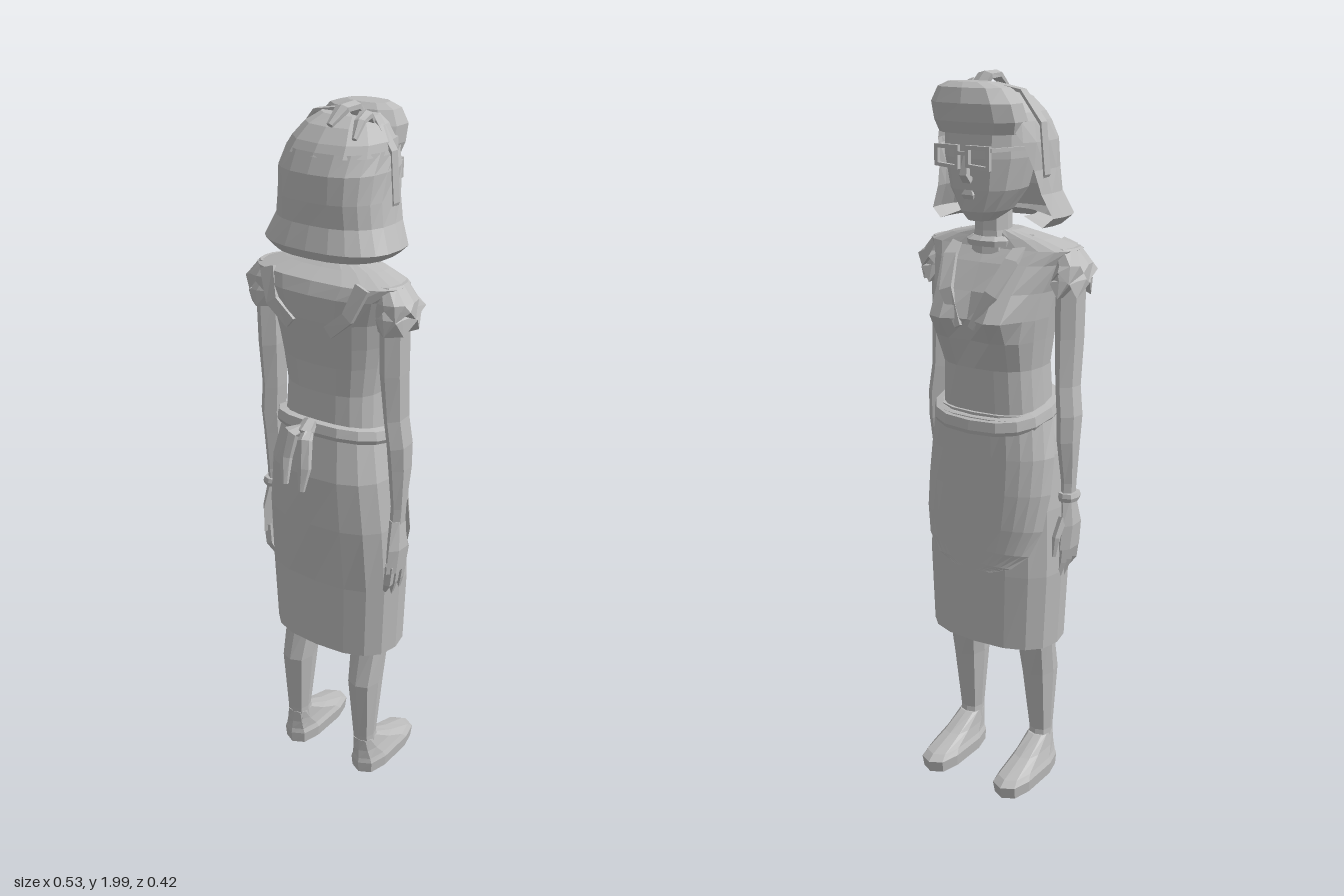
import * as THREE from 'three';

const grey = new THREE.MeshStandardMaterial({ color: 0xbcbcbc, side: THREE.DoubleSide });
grey.name = 'plainGrey';
const V = (x, y, z) => new THREE.Vector3(x, y, z);

// Faceted skin over equal-length cross-sections
function skin(rings, closed = true, caps = true) {
  const pos = [], n = rings[0].length;
  const tri = (a, b, c) => [a, b, c].forEach(p => pos.push(p.x, p.y, p.z));
  for (let i = 0; i < rings.length - 1; i++)
    for (let j = 0; j < (closed ? n : n - 1); j++) {
      const k = (j + 1) % n, a = rings[i], b = rings[i + 1];
      tri(a[j], a[k], b[k]);
      tri(a[j], b[k], b[j]);
    }
  if (closed && caps) {
    const first = rings[0], last = rings[rings.length - 1];
    for (let j = 1; j < n - 1; j++) {
      tri(first[0], first[j + 1], first[j]);
      tri(last[0], last[j], last[j + 1]);
    }
  }
  const g = new THREE.BufferGeometry();
  g.setAttribute('position', new THREE.Float32BufferAttribute(pos, 3));
  g.computeVertexNormals();
  return g;
}

// Point on a rounded level section; angle 0 is the back (+z)
function sectionPoint([y, w, zf, zb, cx = 0], a, power = 0.8, tilt = 0) {
  const p = v => Math.sign(v) * Math.abs(v) ** power;
  const z = (zf + zb) / 2 + (zb - zf) / 2 * p(Math.cos(a));
  return V(cx + w * p(Math.sin(a)), y + tilt * z, z);
}

// Stack of sections [y, halfWidth, zFront, zBack, centreX]
function loft(rows, n = 12, power = 0.8, tilt = 0) {
  return skin(rows.map(r => Array.from({ length: n }, (_, j) => sectionPoint(r, j / n * 2 * Math.PI, power, tilt))));
}

// Open stack: each row carries the half angle it covers around "mid"
function wrap(rows, spans, mid, n = 10, power = 0.8) {
  return skin(rows.map((r, i) => Array.from({ length: n + 1 }, (_, j) =>
    sectionPoint(r, mid + (j / n * 2 - 1) * spans[i], power))), false);
}

// Tapered sweep through [x, y, z, radiusAcross, radiusDeep]
function sweep(pts, n = 6) {
  const c = pts.map(p => V(p[0], p[1], p[2]));
  return skin(pts.map((p, i) => {
    const t = c[Math.min(i + 1, c.length - 1)].clone().sub(c[Math.max(i - 1, 0)]).normalize();
    const u = V(1, 0, 0).addScaledVector(t, -t.x).normalize();
    const v = t.clone().cross(u);
    return Array.from({ length: n }, (_, j) => {
      const a = (j + 0.5) / n * 2 * Math.PI;
      return c[i].clone().addScaledVector(u, Math.cos(a) * p[3]).addScaledVector(v, Math.sin(a) * p[4]);
    });
  }));
}

export function createModel() {
  const model = new THREE.Group();
  const add = (name, geo) => {
    const m = new THREE.Mesh(geo, grey);
    m.name = name;
    model.add(m);
    return m;
  };

  // Skirt
  const skirt = [
    [0.44, 0.198, -0.15, 0.095], [0.66, 0.208, -0.15, 0.1], [0.85, 0.203, -0.148, 0.118],
    [1.0, 0.187, -0.147, 0.123], [1.12, 0.16, -0.15, 0.1]];
  add('skirt', loft(skirt, 16));

  // Apron follows the skirt with a rounded lower edge
  const skirtAt = y => {
    const i = Math.min(3, Math.max(0, skirt.findIndex(r => r[0] > y) - 1));
    const t = (y - skirt[i][0]) / (skirt[i + 1][0] - skirt[i][0]);
    const s = skirt[i].map((v, k) => v + (skirt[i + 1][k] - v) * t);
    return [y, s[1] + 0.01, s[2] - 0.013, s[3] + 0.01];
  };
  add('apron', wrap([0.67, 0.69, 0.73, 0.8, 0.9, 1.0, 1.11].map(skirtAt),
    [0.2, 0.5, 0.8, 1.05, 1.25, 1.4, 1.6], Math.PI, 12));

  // Waistband, lower at the front
  add('waistband', loft([[1.1, 0.17, -0.172, 0.112], [1.112, 0.177, -0.176, 0.118],
    [1.138, 0.172, -0.172, 0.112], [1.142, 0.15, -0.155, 0.09]], 16, 0.8, 0.2));

  // Waist bow at the back
  add('bowKnot', sweep([[0, 1.165, 0.11, 0.02, 0.015], [0, 1.145, 0.135, 0.026, 0.022], [0, 1.115, 0.13, 0.018, 0.015]]));
  add('bowTailLeft', sweep([[0.005, 1.15, 0.125, 0.012, 0.012], [0.02, 1.13, 0.165, 0.022, 0.018],
    [0.032, 1.06, 0.185, 0.021, 0.014], [0.035, 1.0, 0.202, 0.009, 0.008]]));
  add('bowTailRight', sweep([[-0.005, 1.15, 0.125, 0.012, 0.012], [-0.03, 1.14, 0.155, 0.024, 0.018],
    [-0.04, 1.07, 0.17, 0.02, 0.014], [-0.028, 1.0, 0.19, 0.009, 0.008]]));

  // Torso and shoulders, with the bust pushed out of the front
  const torso = loft([
    [1.12, 0.148, -0.14, 0.09], [1.24, 0.143, -0.145, 0.083], [1.32, 0.155, -0.16, 0.09],
    [1.38, 0.165, -0.175, 0.1], [1.45, 0.175, -0.155, 0.112], [1.52, 0.2, -0.115, 0.12],
    [1.555, 0.225, -0.085, 0.105], [1.58, 0.15, -0.075, 0.06], [1.6, 0.065, -0.07, 0.03]], 20, 0.75);
  const tp = torso.attributes.position;
  for (let i = 0; i < tp.count; i++) {
    const x = Math.abs(tp.getX(i)), y = tp.getY(i), z = tp.getZ(i);
    if (z < -0.1 && x > 0.02 && x < 0.14)
      tp.setZ(i, z - 0.034 * Math.max(0, 1 - Math.abs(y - 1.38) / 0.1));
  }
  torso.computeVertexNormals();
  add('torso', torso);

  // Neck and necklace
  add('neck', loft([[1.54, 0.058, -0.105, 0.02], [1.6, 0.045, -0.098, 0.0], [1.68, 0.045, -0.1, 0.0]], 8));
  add('necklace', loft([[1.56, 0.068, -0.112, 0.03], [1.575, 0.07, -0.114, 0.032], [1.585, 0.055, -0.1, 0.02]], 12));

  for (const s of [1, -1]) {
    const side = s > 0 ? 'Left' : 'Right';

    // Lapel and apron strap
    add('lapel' + side, sweep([[s * 0.1, 1.585, -0.03, 0.022, 0.01], [s * 0.095, 1.53, -0.11, 0.026, 0.01],
      [s * 0.07, 1.45, -0.168, 0.026, 0.01], [s * 0.02, 1.36, -0.186, 0.012, 0.008]], 4));
    add('backStrap' + side, sweep([[s * 0.15, 1.56, 0.09, 0.03, 0.01], [s * 0.12, 1.48, 0.112, 0.025, 0.01],
      [s * 0.06, 1.43, 0.112, 0.025, 0.008]], 4));

    // Ruffled sleeve with a jagged edge in two tiers
    [[1.435, 0.045, 0.01], [1.475, 0.052, 0]].forEach(([y0, w, lift], tier) => {
      const rows = [[y0, w, -0.062, 0.075, s * 0.205], [y0 + 0.045, w, -0.05, 0.075, s * 0.202],
        [y0 + 0.085, 0.035, -0.04, 0.06, s * 0.185]];
      const rings = rows.map((r, i) => Array.from({ length: 12 }, (_, j) => {
        const p = sectionPoint(r, j / 12 * 2 * Math.PI, 0.9);
        if (i === 0 && (j + tier) % 2) {
          p.x += (p.x - r[4]) * 0.28;
          p.y += 0.03 + lift;
        }
        return p;
      }));
      add('sleeveRuffle' + side, skin(rings));
    });

    // Arm, bent slightly at the elbow
    add('arm' + side, sweep([[s * 0.21, 0.86, -0.002, 0.02, 0.026], [s * 0.213, 0.92, -0.002, 0.02, 0.024],
      [s * 0.212, 1.04, -0.006, 0.029, 0.04], [s * 0.212, 1.11, -0.002, 0.031, 0.046],
      [s * 0.203, 1.19, 0.003, 0.03, 0.045], [s * 0.2, 1.32, 0.012, 0.036, 0.048],
      [s * 0.2, 1.48, 0.015, 0.037, 0.05]]));

    // Hand, fingers and thumb
    add('hand' + side, sweep([[s * 0.21, 0.88, 0, 0.02, 0.025], [s * 0.217, 0.8, 0.005, 0.023, 0.045],
      [s * 0.213, 0.73, 0.005, 0.02, 0.05]]));
    [[0.035, 0.66], [0.008, 0.635], [-0.022, 0.625]].forEach(([z, y]) =>
      add('finger' + side, sweep([[s * 0.213, 0.75, z, 0.016, 0.015], [s * 0.207, 0.69, z, 0.014, 0.014],
        [s * 0.192, y, z - 0.008, 0.008, 0.008]], 5)));
    add('thumb' + side, sweep([[s * 0.21, 0.82, -0.025, 0.014, 0.014], [s * 0.205, 0.77, -0.052, 0.012, 0.012],
      [s * 0.2, 0.715, -0.056, 0.007, 0.007]], 5));

    // Leg
    add('leg' + side, loft([[0.06, 0.035, -0.03, 0.045, s * 0.122], [0.13, 0.032, -0.018, 0.048, s * 0.122],
      [0.32, 0.045, -0.045, 0.065, s * 0.12], [0.46, 0.055, -0.065, 0.03, s * 0.117]], 8));

    // Shoe
    add('shoe' + side, loft([[0, 0.05, -0.205, 0.052, s * 0.126], [0.035, 0.053, -0.212, 0.055, s * 0.126],
      [0.05, 0.046, -0.19, 0.052, s * 0.126], [0.078, 0.038, -0.105, 0.05, s * 0.124],
      [0.115, 0.032, -0.025, 0.048, s * 0.122]], 10, 0.7));
  }

  // Bracelet on the right wrist
  add('bracelet', loft([[0.868, 0.027, -0.033, 0.03, -0.213], [0.88, 0.031, -0.036, 0.033, -0.213],
    [0.892, 0.027, -0.033, 0.03, -0.213]], 8));

  // Head with nose and lips
  add('head', loft([[1.63, 0.035, -0.14, -0.06], [1.655, 0.06, -0.156, 0], [1.71, 0.095, -0.163, 0.03],
    [1.79, 0.113, -0.168, 0.05], [1.87, 0.115, -0.165, 0.05], [1.92, 0.1, -0.15, 0.05]], 12));
  add('nose', sweep([[0, 1.735, -0.165, 0.018, 0.012], [0, 1.75, -0.18, 0.015, 0.012], [0, 1.81, -0.165, 0.008, 0.008]], 4));
  add('lips', sweep([[0, 1.69, -0.16, 0.02, 0.006], [0, 1.7, -0.166, 0.025, 0.006], [0, 1.71, -0.162, 0.015, 0.006]], 4));

  // Bob haircut, open around the face, flared at the ends
  add('hairBob', wrap([
    [1.64, 0.1, -0.11, 0.06], [1.615, 0.165, -0.15, 0.115], [1.64, 0.194, -0.15, 0.13], [1.7, 0.166, -0.16, 0.11],
    [1.76, 0.155, -0.16, 0.116], [1.83, 0.15, -0.165, 0.116], [1.88, 0.138, -0.165, 0.095, 0.004]],
    [1.85, 1.85, 1.85, 1.85, 1.95, 2.15, 2.4], 0, 14));
  add('hairCrown', loft([[1.87, 0.14, -0.15, 0.1, 0.004], [1.9, 0.13, -0.15, 0.082, 0.008], [1.935, 0.105, -0.14, 0.05, 0.01],
    [1.957, 0.075, -0.12, 0.01, 0.012]], 12));

  // Swept fringe at the front
  add('hairFringe', loft([[1.85, 0.118, -0.172, -0.03], [1.88, 0.128, -0.184, -0.03], [1.925, 0.125, -0.19, -0.05, 0.004],
    [1.962, 0.1, -0.175, -0.07, 0.01], [1.975, 0.06, -0.155, -0.09, 0.02]], 10));

  // Headband and its small bow
  const band = [[-0.157, 1.74], [-0.145, 1.87], [-0.085, 1.947], [0, 1.962], [0.095, 1.95], [0.148, 1.87], [0.157, 1.74]];
  const bandGeo = skin(band.map(([x, y]) => {
    const k = x < 0 ? 1.03 : 1.02;
    return [V(x, y, -0.058), V(x * k, y + 0.008, -0.058), V(x * k, y + 0.008, -0.03), V(x, y, -0.03)];
  }));
  add('headband', bandGeo);
  add('headBowLarge', sweep([[0.06, 1.955, -0.03, 0.024, 0.012], [0.05, 1.982, -0.01, 0.026, 0.013],
    [0.055, 1.983, 0.045, 0.022, 0.012], [0.048, 1.95, 0.088, 0.01, 0.007]]));
  add('headBowSmall', sweep([[0.085, 1.945, -0.03, 0.018, 0.012], [0.09, 1.965, -0.005, 0.02, 0.012],
    [0.1, 1.955, 0.035, 0.016, 0.01], [0.108, 1.92, 0.07, 0.007, 0.006]]));

  // Glasses: two square rims, a bridge and temples
  const rim = new THREE.Shape();
  const square = (path, w, h) => path.moveTo(-w, -h).lineTo(w, -h * 0.8).lineTo(w, h).lineTo(-w, h).closePath();
  square(rim, 0.036, 0.03);
  const hole = new THREE.Path();
  square(hole, 0.026, 0.02);
  rim.holes.push(hole);
  for (const s of [1, -1]) {
    const g = new THREE.ExtrudeGeometry(rim, { depth: 0.012, bevelEnabled: false });
    add('glassesRim', g).position.set(s * 0.047, 1.795, -0.194);
    const temple = add('glassesTemple', new THREE.BoxGeometry(0.008, 0.01, 0.12));
    temple.position.set(s * 0.103, 1.815, -0.13);
    temple.rotation.y = s * 0.35;
  }
  add('glassesBridge', new THREE.BoxGeometry(0.026, 0.009, 0.01)).position.set(0, 1.805, -0.188);

  return model;
}
